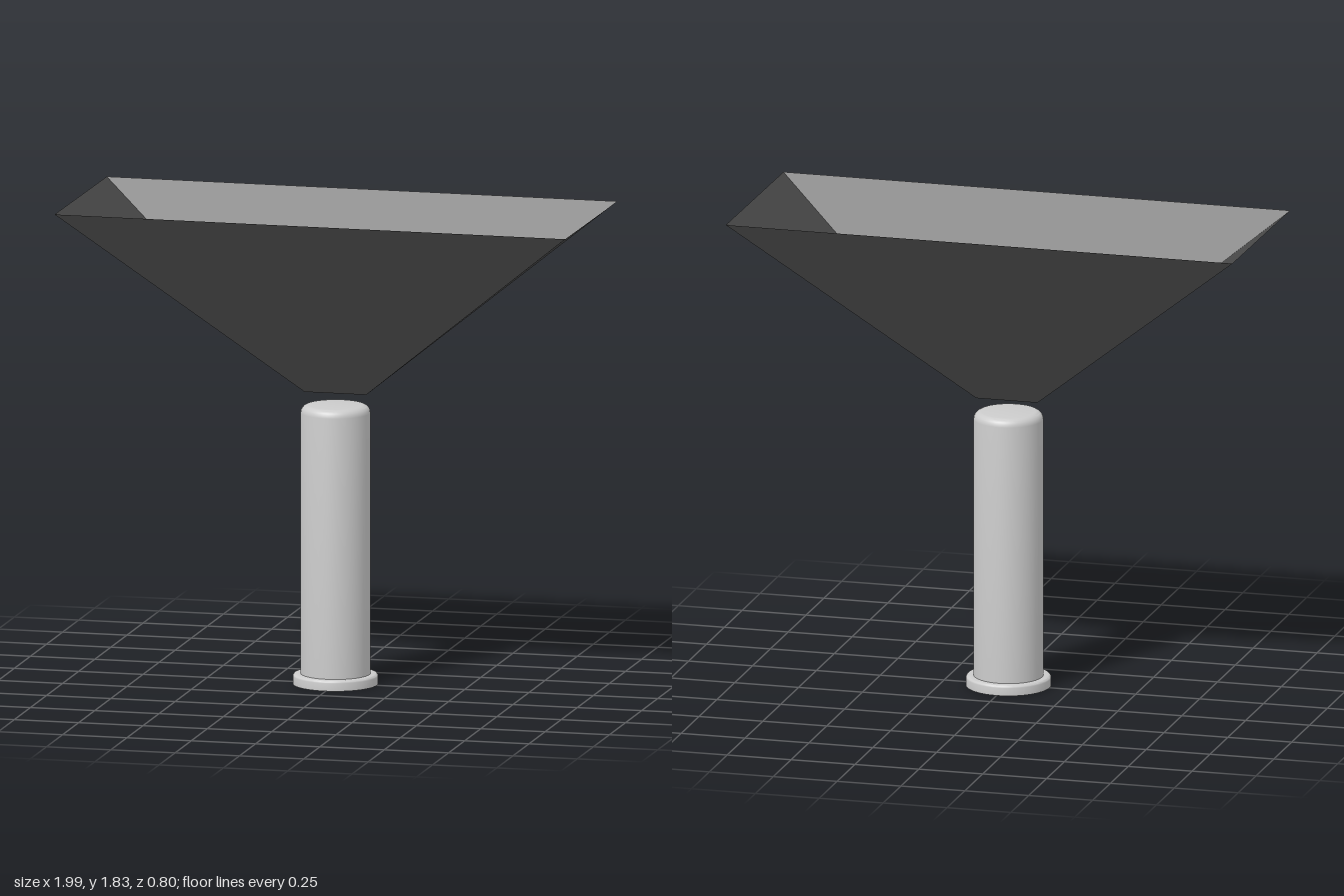
import * as THREE from 'three';
import { toCreasedNormals } from 'three/addons/utils/BufferGeometryUtils.js';

const grey = new THREE.MeshStandardMaterial({ color: 0xcccccc, side: THREE.DoubleSide });
const dark = new THREE.MeshStandardMaterial({ color: 0x4a4a4a, side: THREE.DoubleSide });

// Rounded outer corner of a lathe profile, from the top face round to the side
function corner(radius, top, bevel, steps = 5) {
  const points = [];
  for (let i = 0; i <= steps; i++) {
    const a = (i / steps) * Math.PI / 2;
    points.push(new THREE.Vector2(
      radius - bevel + bevel * Math.sin(a),
      top - bevel + bevel * Math.cos(a)));
  }
  return points;
}

function turned(name, profile) {
  // profiles run downwards, so reverse them to face outwards
  const geometry = new THREE.LatheGeometry(profile.reverse(), 48);
  const mesh = new THREE.Mesh(toCreasedNormals(geometry, 0.6), grey);
  mesh.name = name;
  return mesh;
}

// Four-sided open funnel joining a narrow slot to a wide rim
function funnel(bottom, top) {
  const ring = ({ x, y, z, dz = 0 }) =>
    [[x, z], [x, -z], [-x, -z], [-x, z]].map(([px, pz]) => [px, y, pz + dz]);
  const low = ring(bottom), high = ring(top);
  const positions = [];
  for (let i = 0; i < 4; i++) {
    const j = (i + 1) % 4;
    positions.push(...low[i], ...low[j], ...high[j], ...low[i], ...high[j], ...high[i]);
  }
  const geometry = new THREE.BufferGeometry();
  geometry.setAttribute('position', new THREE.Float32BufferAttribute(positions, 3));
  geometry.computeVertexNormals();
  const mesh = new THREE.Mesh(geometry, dark);
  mesh.name = 'funnel';
  return mesh;
}

export function createModel() {
  const group = new THREE.Group();
  group.name = 'funnelOnPost';

  // Hollow post with a rounded, closed top
  const post = turned('post', [
    new THREE.Vector2(0, 1.07),
    ...corner(0.132, 1.07, 0.03),
    new THREE.Vector2(0.132, 0.04),
  ]);

  // Foot flange, open underneath
  const flange = turned('footFlange', [
    new THREE.Vector2(0.132, 0.04),
    ...corner(0.161, 0.04, 0.01, 3),
    new THREE.Vector2(0.161, 0),
  ]);
  post.position.x = flange.position.x = -0.002;

  // Funnel floating just above the post, turned very slightly
  const hopper = funnel(
    { x: 0.12, y: 1.115, z: 0.012, dz: -0.003 },
    { x: 0.994, y: 1.825, z: 0.393 });
  hopper.rotation.y = -0.008;

  group.add(post, flange, hopper);
  return group;
}
